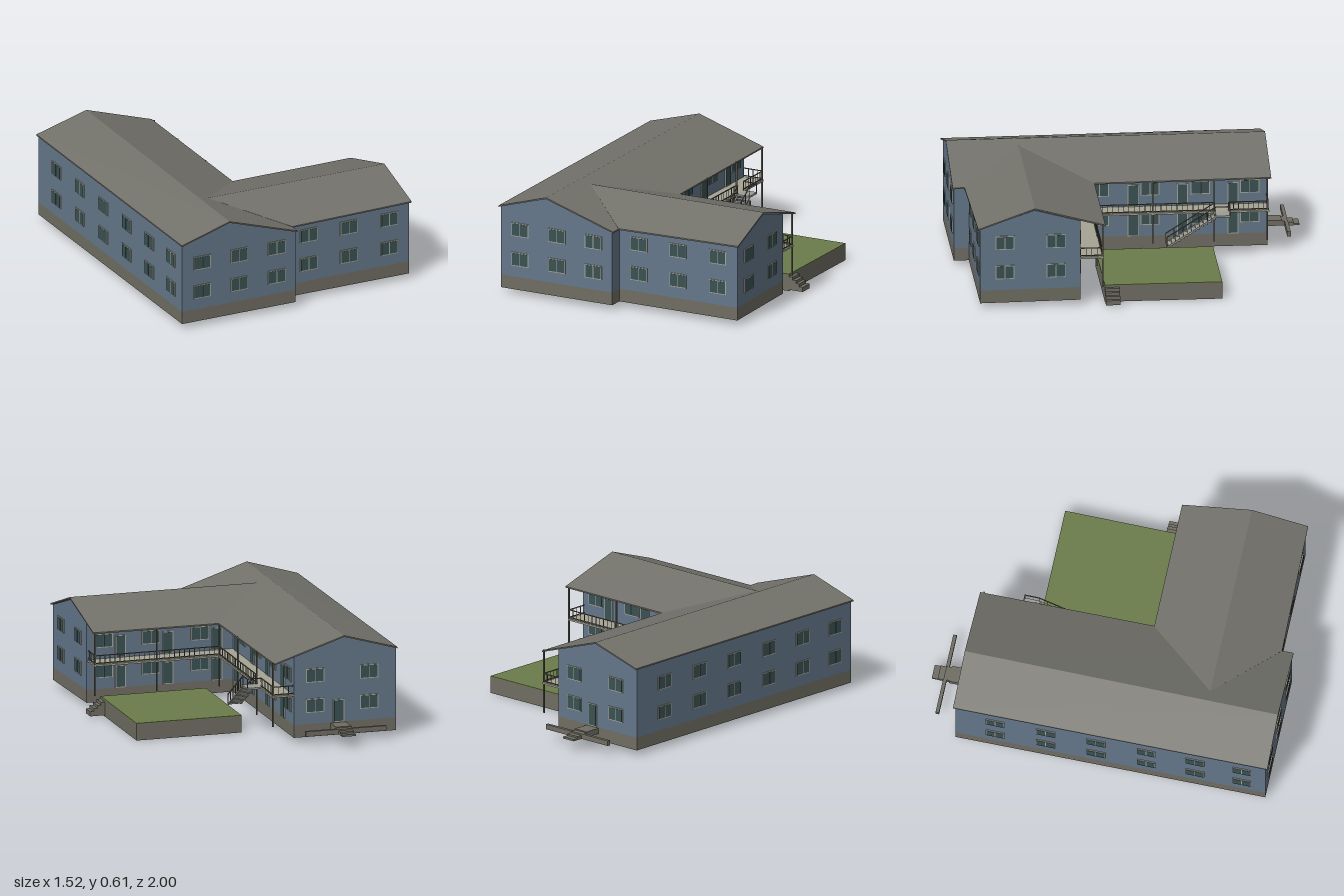
import * as THREE from 'three';
import { ConvexGeometry } from 'three/addons/geometries/ConvexGeometry.js';

const mat = (name, color, side = THREE.FrontSide) => {
  const m = new THREE.MeshStandardMaterial({ color, side });
  m.name = name;
  return m;
};

export function createModel() {
  const root = new THREE.Group();
  root.name = 'building';
  const M = {
    wall: mat('blue siding', 0x64778a),
    base: mat('foundation', 0x6f6d62),
    roof: mat('roof grey', 0x72716a),
    grass: mat('lawn green', 0x6b7c4a),
    glass: mat('window glass', 0x3a5153),
    trim: mat('pale trim', 0xa5a494),
    stair: mat('stair grey', 0x9c9c96),
    rail: mat('rail grey', 0x66645a),
  };

  const add = (name, geo, material, parent = root) => {
    const m = new THREE.Mesh(geo, material);
    m.name = name;
    parent.add(m);
    return m;
  };
  const group = (name) => {
    const g = new THREE.Group();
    g.name = name;
    root.add(g);
    return g;
  };
  const box = (name, x0, x1, y0, y1, z0, z1, material, parent) => {
    const m = add(name, new THREE.BoxGeometry(x1 - x0, y1 - y0, z1 - z0), material, parent);
    m.position.set((x0 + x1) / 2, (y0 + y1) / 2, (z0 + z1) / 2);
    return m;
  };
  const hull = (name, pts, material) =>
    add(name, new ConvexGeometry(pts.map((p) => new THREE.Vector3(...p))), material);
  // square bar between two points
  const bar = (name, a, b, t, material, parent) => {
    const A = new THREE.Vector3(...a), B = new THREE.Vector3(...b);
    const m = add(name, new THREE.BoxGeometry(t, t, A.distanceTo(B)), material, parent);
    m.position.copy(A).add(B).multiplyScalar(0.5);
    m.lookAt(B);
    return m;
  };

  // the outer walls are slightly out of square
  const westX = (z) => -0.745 + 0.008 * (z - 0.985);
  const eastX = (z) => 0.71 + 0.03 * (z - 0.33);
  const IN_X = -0.155, IN_Z = 0.33, BACK = -0.8, FRONT = 0.985, MID = 0.9, BY = 0.105;

  // foundation: L-shaped plan
  const plan = new THREE.Shape([
    [westX(BACK), BACK], [IN_X, BACK], [IN_X, IN_Z], [eastX(IN_Z), IN_Z],
    [eastX(MID), MID], [-0.03, MID], [-0.03, FRONT], [westX(FRONT), FRONT],
  ].map(([x, z]) => new THREE.Vector2(x, -z)));
  const baseGeo = new THREE.ExtrudeGeometry(plan, { depth: BY - 0.03, bevelEnabled: false });
  baseGeo.rotateX(-Math.PI / 2).translate(0, 0.03, 0);
  add('foundation', baseGeo, M.base);

  // walls: gabled prisms
  const section = (z, right, rightY) => [
    [westX(z), BY, z], [westX(z), 0.507, z], [-0.45, 0.596, z], [right, rightY, z], [right, BY, z],
  ];
  hull('longWingWalls', [...section(BACK, IN_X, 0.5), ...section(FRONT, IN_X, 0.5)], M.wall);
  hull('frontGableWalls', [...section(IN_Z, -0.03, 0.461), ...section(FRONT, -0.03, 0.461)], M.wall);
  const sideProfile = [[IN_Z, BY], [IN_Z, 0.498], [0.59, 0.571], [MID, 0.468], [MID, BY]];
  hull('sideWingWalls', sideProfile.flatMap(([z, y]) => [[-0.3, y, z], [eastX(z), y, z]]), M.wall);

  // roof planes as thin slabs
  const slab = (name, pts) =>
    hull(name, pts.flatMap(([x, y, z]) => [[x, y, z], [x, y - 0.008, z]]), M.roof);
  slab('longRoofWest', [[-0.765, 0.515, -0.812], [-0.45, 0.605, -0.812], [-0.45, 0.605, 0.995], [-0.752, 0.515, 0.998]]);
  slab('longRoofEast', [[-0.45, 0.605, -0.812], [-0.038, 0.471, -0.812], [-0.02, 0.466, 0.992], [-0.45, 0.605, 0.995]]);
  slab('sideRoofFront', [[-0.385, 0.584, 0.59], [0.727, 0.584, 0.59], [0.738, 0.473, 0.912], [-0.022, 0.468, 0.926]]);
  slab('sideRoofBack', [[-0.385, 0.584, 0.59], [0.727, 0.584, 0.59], [0.715, 0.471, 0.19], [-0.03, 0.469, 0.19]]);

  // windows and doors: thin plates facing +z, turned to their wall
  const opening = (name, x, z, y, angle, w, h, panes) => {
    const g = group(name);
    g.position.set(x, y, z);
    g.rotation.y = angle;
    box('frame', -w / 2, w / 2, -h / 2, h / 2, -0.002, 0.005, M.trim, g);
    const b = 0.005, pw = (w - b * (panes + 1)) / panes;
    for (let i = 0; i < panes; i++) {
      const x0 = -w / 2 + b + i * (pw + b);
      box('pane', x0, x0 + pw, -h / 2 + b, h / 2 - b, 0, 0.0065, M.glass, g);
    }
  };
  const LEVELS = [0.21, 0.385];
  const win = (x, z, a) => LEVELS.forEach((y) => opening('window', x, z, y, a, 0.108, 0.08, 2));
  const door = (x, z, a) => [0.17, 0.345].forEach((y) => opening('door', x, z, y, a, 0.062, 0.13, 1));
  const Q = Math.PI / 2;
  [-0.62, -0.385, -0.15].forEach((x) => win(x, FRONT, 0));
  [0.095, 0.348, 0.602].forEach((x) => win(x, MID, 0));
  [0.76, 0.47].forEach((z) => win(eastX(z), z, Q + 0.03));
  [-0.57, -0.28, 0.01, 0.3, 0.58, 0.85].forEach((z) => win(westX(z), z, -Q));
  [0.15, -0.135, -0.42, -0.7].forEach((z) => win(IN_X, z, Q));
  [0.25, -0.04, -0.32, -0.605].forEach((z) => door(IN_X, z, Q));
  [0.04, 0.33, 0.61].forEach((x) => win(x, IN_Z, Math.PI));
  [-0.06, 0.23, 0.51].forEach((x) => door(x, IN_Z, Math.PI));
  [-0.28, -0.6].forEach((x) => win(x, BACK, Math.PI));
  opening('backDoor', -0.42, BACK, 0.17, Math.PI, 0.065, 0.13, 1);

  // balcony floors
  box('longBalconyFloor', IN_X, -0.03, 0.27, 0.28, BACK, IN_Z, M.trim);
  box('sideBalconyFloor', -0.03, 0.705, 0.27, 0.28, 0.2, IN_Z, M.trim);

  // balcony railings
  const railing = (a, b) => {
    const g = group('railing');
    const A = new THREE.Vector3(a[0], 0, a[1]), B = new THREE.Vector3(b[0], 0, b[1]);
    [0.288, 0.332].forEach((y) => bar('rail', [A.x, y, A.z], [B.x, y, B.z], 0.005, M.rail, g));
    const n = Math.max(1, Math.round(A.distanceTo(B) / 0.03));
    for (let i = 0; i <= n; i++) {
      const p = A.clone().lerp(B, i / n);
      box('baluster', p.x - 0.0015, p.x + 0.0015, 0.28, 0.332, p.z - 0.0015, p.z + 0.0015, M.rail, g);
    }
  };
  const RX = -0.035, RZ = 0.205;
  railing([IN_X, -0.795], [RX, -0.795]);
  railing([RX, -0.795], [RX, -0.57]);
  railing([RX, -0.49], [RX, RZ]);
  railing([RX, RZ], [0.7, RZ]);
  railing([0.7, RZ], [0.7, IN_Z]);

  // roof posts
  [[RX, -0.79], [RX, -0.49], [RX, -0.14], [RX, RZ], [0.335, RZ], [0.7, RZ]].forEach(([x, z]) =>
    box('roofPost', x - 0.004, x + 0.004, 0.1, 0.472, z - 0.004, z + 0.004, M.rail));

  // outdoor stair to the balcony
  const stair = group('courtyardStair');
  box('landing', -0.035, 0.05, 0.27, 0.28, -0.575, -0.485, M.stair, stair);
  const N = 12;
  for (let i = 0; i < N; i++) {
    const z = -0.22 - (i * 0.27) / N, y = 0.1 + ((i + 1) * 0.175) / (N + 1);
    box('tread', -0.028, 0.048, y - 0.006, y, z - 0.025, z, M.stair, stair);
  }
  [-0.027, 0.047].forEach((x) => {
    bar('stringer', [x, 0.1, -0.215], [x, 0.272, -0.49], 0.008, M.trim, stair);
    bar('handrail', [x, 0.16, -0.215], [x, 0.332, -0.49], 0.005, M.rail, stair);
    for (let i = 0; i <= 6; i++) {
      const t = i / 6, z = -0.215 - 0.275 * t, y = 0.1 + 0.172 * t;
      bar('baluster', [x, y, z], [x, y + 0.06, z], 0.003, M.rail, stair);
    }
  });
  [[0.047, -0.49, 0.047, -0.572], [0.047, -0.572, RX, -0.572]].forEach(([x0, z0, x1, z1]) => {
    bar('landingRail', [x0, 0.332, z0], [x1, 0.332, z1], 0.005, M.rail, stair);
    bar('landingPost', [x1, 0.28, z1], [x1, 0.332, z1], 0.004, M.rail, stair);
  });

  // raised courtyard lawn with its steps
  box('lawnBed', 0.05, 0.672, 0, 0.094, -0.475, 0.19, M.base);
  box('lawn', 0.05, 0.672, 0.094, 0.1, -0.475, 0.19, M.grass);
  [[0.695, 0.085], [0.717, 0.068], [0.737, 0.052], [0.76, 0.035]].forEach(([x1, y1], i) =>
    box('lawnStep', 0.672 + i * 0.022, x1, 0.008, y1, 0.108, 0.19, M.base));

  // back entrance: landing, steps and low cross wall
  box('backLanding', -0.465, -0.372, 0.068, 0.1, -0.9, BACK, M.base);
  [0.094, 0.086, 0.077].forEach((y, i) =>
    box('backStep', -0.459, -0.378, 0.066, y, -0.933 - i * 0.0335, -0.9 - i * 0.0335, M.base));
  [[-0.66, -0.459], [-0.378, -0.185]].forEach(([x0, x1]) =>
    box('lowCrossWall', x0, x1, 0.066, 0.095, -0.935, -0.915, M.base));

  return root;
}
